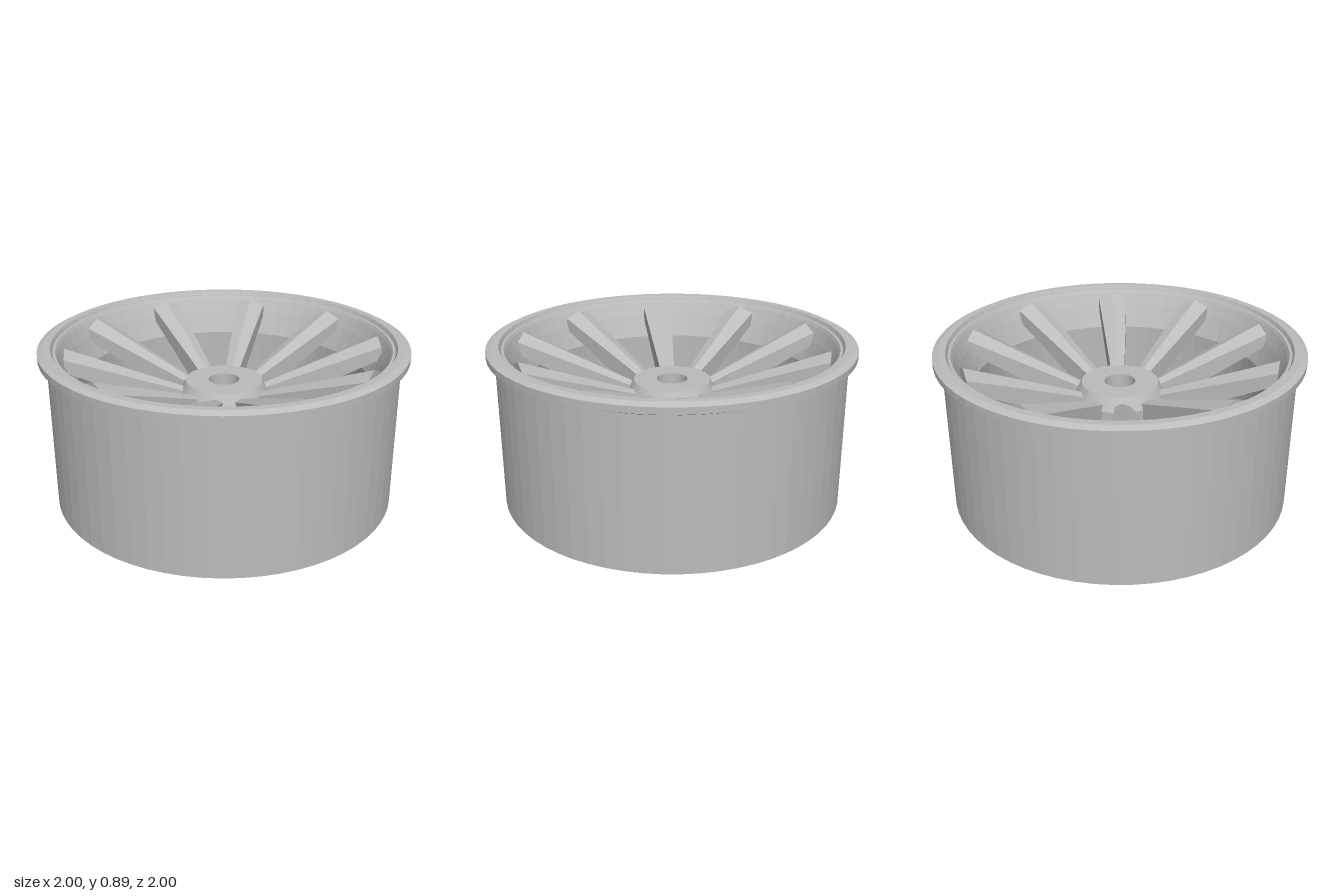
import * as THREE from 'three';

const SPOKES = 10;
const FIRST_ANGLE = THREE.MathUtils.degToRad(7.5);

// Closed profile of [radius, y] pairs spun around the vertical axis
function spin(name, profile, segments, material) {
  const points = [...profile, profile[0]].map(([r, y]) => new THREE.Vector2(r, y));
  const mesh = new THREE.Mesh(new THREE.LatheGeometry(points, segments), material);
  mesh.name = name;
  return mesh;
}

// Ridged spoke along +x, lofted through five-sided cross-sections
function spokeGeometry() {
  // radius, half width, underside height
  const stations = [
    [0.18, 0.036, 0.455],
    [0.335, 0.046, 0.455],
    [0.345, 0.047, 0.53],
    [0.86, 0.087, 0.765],
  ];
  const positions = [];
  const index = [];
  for (const [r, w, bottom] of stations) {
    const ridge = 0.63 + 0.387 * (r - 0.24);
    const shoulder = ridge - 0.4 * w;
    positions.push(r, ridge, 0, r, shoulder, w, r, bottom, w, r, bottom, -w, r, shoulder, -w);
  }
  const last = (stations.length - 1) * 5;
  for (let i = 0; i < last; i += 5) {
    for (let j = 0; j < 5; j++) {
      const k = (j + 1) % 5;
      index.push(i + j, i + k, i + 5 + k, i + j, i + 5 + k, i + 5 + j);
    }
  }
  for (let j = 1; j < 4; j++) {
    index.push(0, j + 1, j, last, last + j, last + j + 1);
  }
  const geometry = new THREE.BufferGeometry();
  geometry.setAttribute('position', new THREE.Float32BufferAttribute(positions, 3));
  geometry.setIndex(index);
  const flat = geometry.toNonIndexed();
  flat.computeVertexNormals();
  return flat;
}

export function createModel() {
  const model = new THREE.Group();
  model.name = 'wheel';
  const metal = new THREE.MeshStandardMaterial({ color: 0xbcbcbc });
  metal.name = 'grey metal';
  metal.flatShading = true;

  // Barrel with flared lip, small groove and stepped inner wall
  model.add(spin('rim', [
    [0.815, 0], [0.955, 0], [0.955, 0.825], [1, 0.845], [1, 0.88], [0.97, 0.895],
    [0.93, 0.895], [0.92, 0.875], [0.905, 0.875], [0.895, 0.86],
    [0.86, 0.79], [0.805, 0.66],
  ], 64, metal));

  // Bored hub with a chamfered top
  model.add(spin('hub', [
    [0.085, 0.22], [0.25, 0.22], [0.25, 0.58], [0.212, 0.655], [0.085, 0.655],
  ], 48, metal));

  // Radial spokes rising from hub to rim
  const geometry = spokeGeometry();
  const spokes = new THREE.Group();
  spokes.name = 'spokes';
  for (let i = 0; i < SPOKES; i++) {
    const spoke = new THREE.Mesh(geometry, metal);
    spoke.name = 'spoke';
    spoke.rotation.y = -(FIRST_ANGLE + (i * Math.PI * 2) / SPOKES);
    spokes.add(spoke);
  }
  model.add(spokes);
  return model;
}
